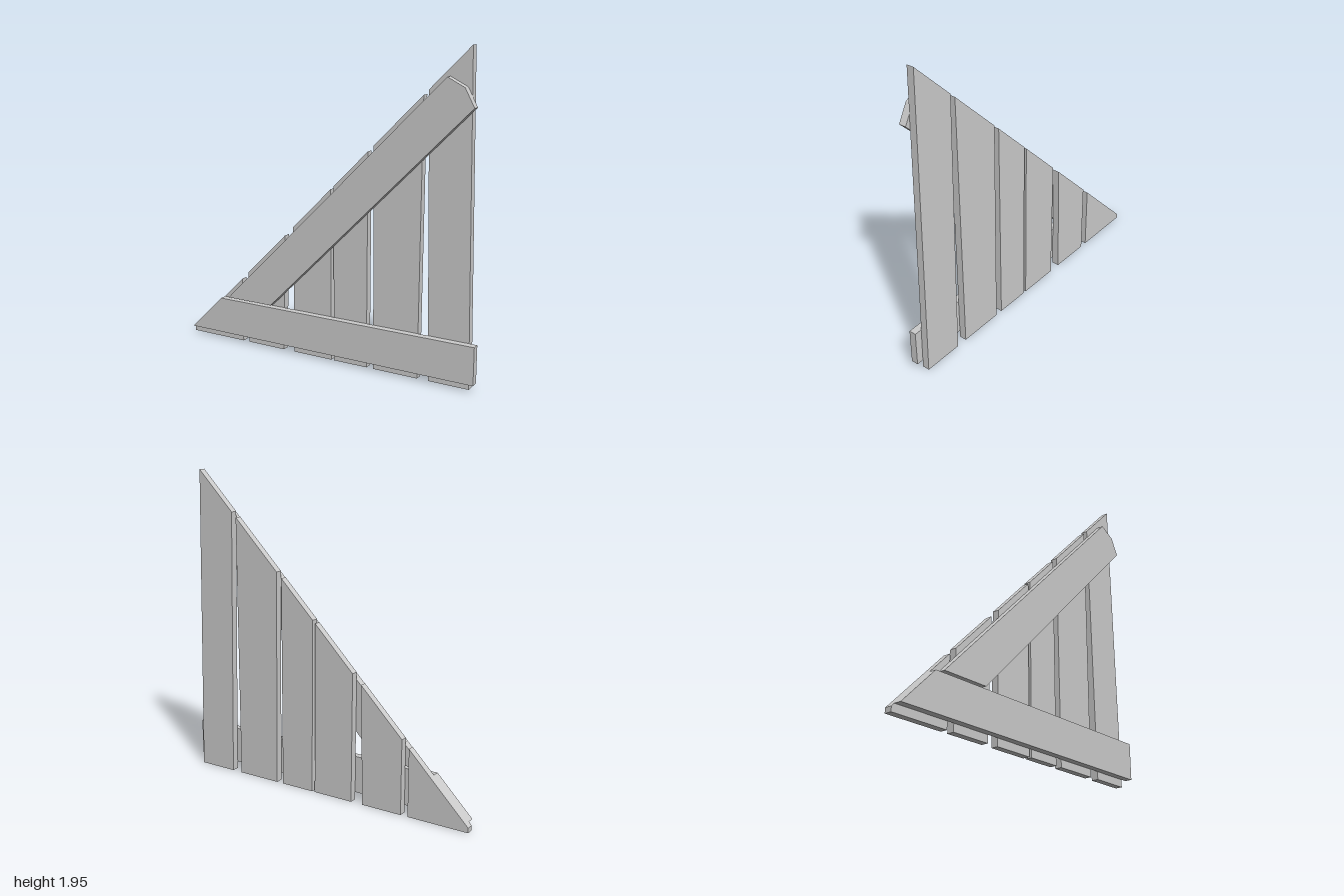
import * as THREE from 'three';

const THICK = 0.045;

export function createModel() {
  const group = new THREE.Group();
  const wood = new THREE.MeshStandardMaterial({ color: 0xcccccc });
  wood.name = 'plainGrey';

  // A flat board cut to an outline (counter-clockwise), its back face at z
  function board(name, outline, z) {
    const shape = new THREE.Shape(outline.map(([x, y]) => new THREE.Vector2(x, y)));
    const geometry = new THREE.ExtrudeGeometry(shape, { depth: THICK, bevelEnabled: false });
    geometry.translate(0, 0, z);
    const mesh = new THREE.Mesh(geometry, wood);
    mesh.name = name;
    group.add(mesh);
  }

  // Upright planks, cut along one sloping line: bottom left, bottom right, top left, top right
  const slope = (x) => x + 1.03;
  const planks = [
    [-1, -0.61, -1, -0.61],
    [-0.563, -0.298, -0.563, -0.282],
    [-0.218, 0.05, -0.223, 0.044],
    [0.07, 0.295, 0.062, 0.292],
    [0.342, 0.632, 0.327, 0.636],
    [0.702, 0.957, 0.667, 0.917],
  ];
  planks.forEach(([bl, br, tl, tr], i) => {
    board(`plank${i + 1}`, [[bl, 0], [br, 0], [tr, slope(tr)], [tl, slope(tl)]], -THICK);
  });

  // Horizontal rail with a mitred left end
  board('bottomRail', [[-0.982, 0.048], [1, 0.048], [1, 0.278], [-0.752, 0.278]], 0);

  // Diagonal brace with a clipped upper end
  board('diagonalBrace', [
    [-0.69, 0.293], [-0.367, 0.293], [0.955, 1.615], [0.897, 1.722], [0.792, 1.775],
  ], 0);

  return group;
}
